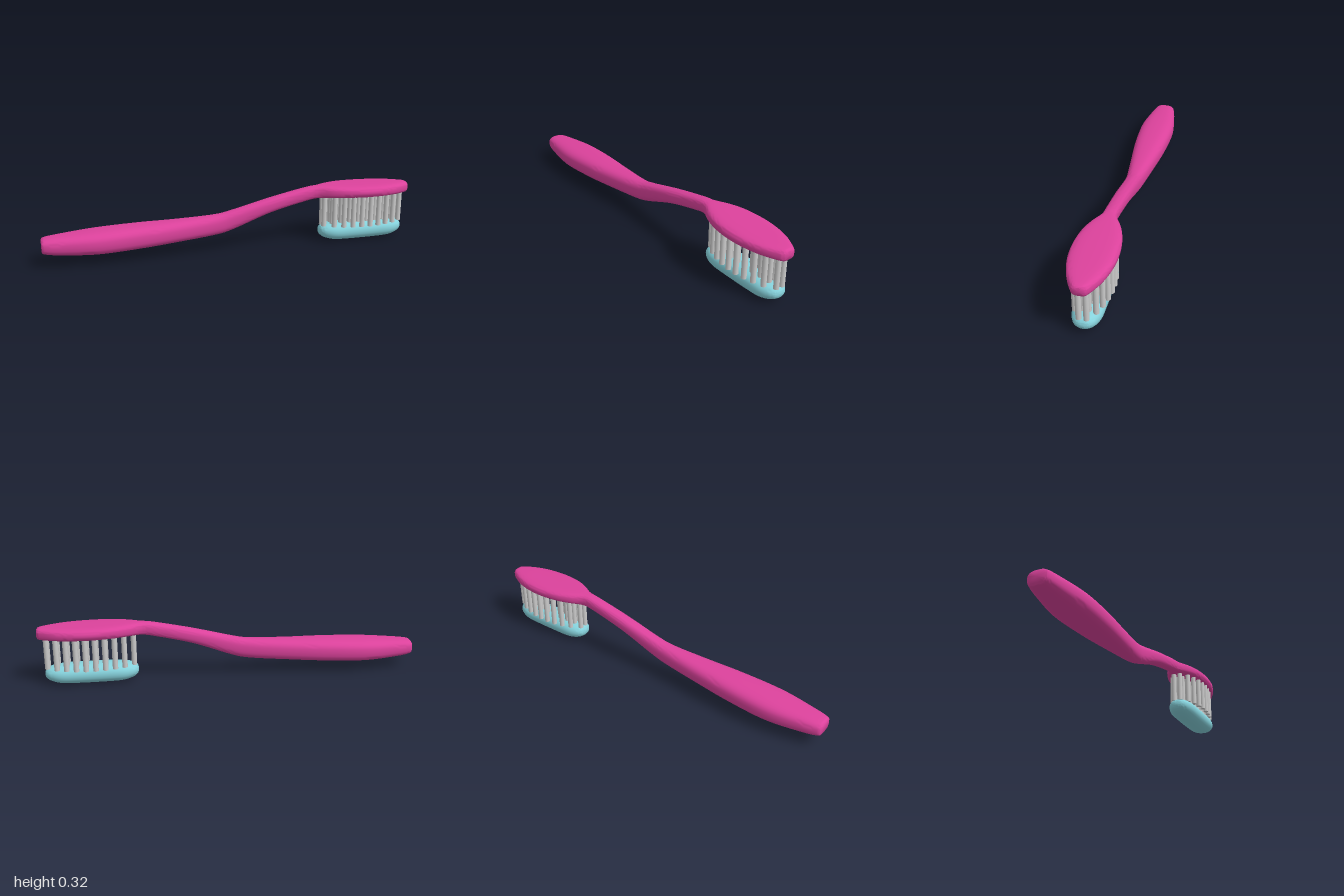
import * as THREE from 'three';
import { toCreasedNormals } from 'three/addons/utils/BufferGeometryUtils.js';

// Lofts rounded sections along x; each station is [x, bottom, top, halfWidth, squareness]
function loft(stations, steps, sides) {
  const heights = new THREE.CatmullRomCurve3(stations.map(s => new THREE.Vector3(s[0], s[1], s[2])), false, 'catmullrom');
  const widths = new THREE.CatmullRomCurve3(stations.map(s => new THREE.Vector3(s[0], s[3], s[4])), false, 'catmullrom');
  const pos = [], index = [];
  const round = (v, n) => Math.sign(v) * Math.pow(Math.abs(v), 2 / n);
  for (let i = 0; i <= steps; i++) {
    const h = heights.getPoint(i / steps), w = widths.getPoint(i / steps);
    const mid = (h.y + h.z) / 2, half = (h.z - h.y) / 2;
    for (let j = 0; j < sides; j++) {
      const a = (j / sides) * Math.PI * 2;
      pos.push(h.x, mid + half * round(Math.sin(a), w.z), w.y * round(Math.cos(a), w.z));
    }
  }
  for (let i = 0; i < steps; i++) {
    for (let j = 0; j < sides; j++) {
      const k = (j + 1) % sides;
      const a = i * sides + j, b = a + sides, c = i * sides + k, d = c + sides;
      index.push(a, b, c, b, d, c);
    }
  }
  // end caps
  const first = stations[0], last = stations[stations.length - 1];
  const c0 = pos.length / 3, c1 = c0 + 1, base = steps * sides;
  pos.push(first[0], (first[1] + first[2]) / 2, 0, last[0], (last[1] + last[2]) / 2, 0);
  for (let j = 0; j < sides; j++) {
    const k = (j + 1) % sides;
    index.push(c0, j, k, c1, base + k, base + j);
  }
  const geo = new THREE.BufferGeometry();
  geo.setAttribute('position', new THREE.Float32BufferAttribute(pos, 3));
  geo.setIndex(index);
  return toCreasedNormals(geo, 0.9);
}

export function createModel() {
  const model = new THREE.Group();
  model.name = 'toothbrush';
  const pink = new THREE.MeshStandardMaterial({ color: 0xdc429c });
  const teal = new THREE.MeshStandardMaterial({ color: 0x86d2dc });
  const grey = new THREE.MeshStandardMaterial({ color: 0xcccccc });

  // handle, neck and head in one sweep
  const handle = new THREE.Mesh(loft([
    [-1.0, 0.08, 0.137, 0.042, 2.8],
    [-0.985, 0.068, 0.146, 0.056, 2.8],
    [-0.9, 0.058, 0.155, 0.074, 2.8],
    [-0.72, 0.05, 0.168, 0.097, 2.8],
    [-0.5, 0.059, 0.178, 0.089, 2.8],
    [-0.3, 0.072, 0.184, 0.069, 2.7],
    [-0.1, 0.089, 0.195, 0.047, 2.6],
    [0.0, 0.112, 0.214, 0.04, 2.6],
    [0.2, 0.185, 0.264, 0.038, 2.6],
    [0.4, 0.235, 0.306, 0.035, 2.8],
    [0.47, 0.247, 0.314, 0.039, 3],
    [0.54, 0.25, 0.316, 0.074, 3.3],
    [0.62, 0.25, 0.315, 0.1, 3.5],
    [0.72, 0.248, 0.313, 0.111, 3.5],
    [0.82, 0.247, 0.311, 0.104, 3.5],
    [0.91, 0.246, 0.309, 0.08, 3.5],
    [0.985, 0.246, 0.305, 0.042, 3.2],
    [1.0, 0.255, 0.297, 0.028, 3],
  ], 102, 32), pink);
  handle.name = 'handleAndHead';
  model.add(handle);

  // bristle tufts, four rows following the head outline
  const bristles = new THREE.Group();
  bristles.name = 'bristles';
  const tuft = new THREE.CylinderGeometry(0.014, 0.014, 0.185, 12);
  const columns = 10;
  for (let i = 0; i < columns; i++) {
    const t = i / (columns - 1);
    const x = 0.512 + 0.445 * t;
    const outer = 0.018 + 0.065 * Math.pow(Math.sin(Math.PI * t), 0.7);
    const rows = outer > 0.045 ? [outer, outer * 0.3] : [outer];
    for (const z of rows) {
      for (const side of [1, -1]) {
        const mesh = new THREE.Mesh(tuft, grey);
        mesh.name = 'bristleTuft';
        mesh.position.set(x, 0.178, side * z);
        bristles.add(mesh);
      }
    }
  }
  model.add(bristles);

  // strip of paste under the bristles
  const paste = new THREE.Mesh(loft([
    [0.49, 0.045, 0.065, 0.014, 2],
    [0.497, 0.032, 0.08, 0.034, 2.1],
    [0.52, 0.017, 0.092, 0.054, 2.2],
    [0.57, 0.004, 0.1, 0.07, 2.2],
    [0.65, 0.0, 0.104, 0.073, 2.2],
    [0.81, 0.0, 0.104, 0.073, 2.2],
    [0.89, 0.004, 0.1, 0.07, 2.2],
    [0.94, 0.017, 0.092, 0.054, 2.2],
    [0.965, 0.032, 0.08, 0.034, 2.1],
    [0.973, 0.045, 0.065, 0.014, 2],
  ], 45, 28), teal);
  paste.name = 'paste';
  model.add(paste);

  return model;
}
